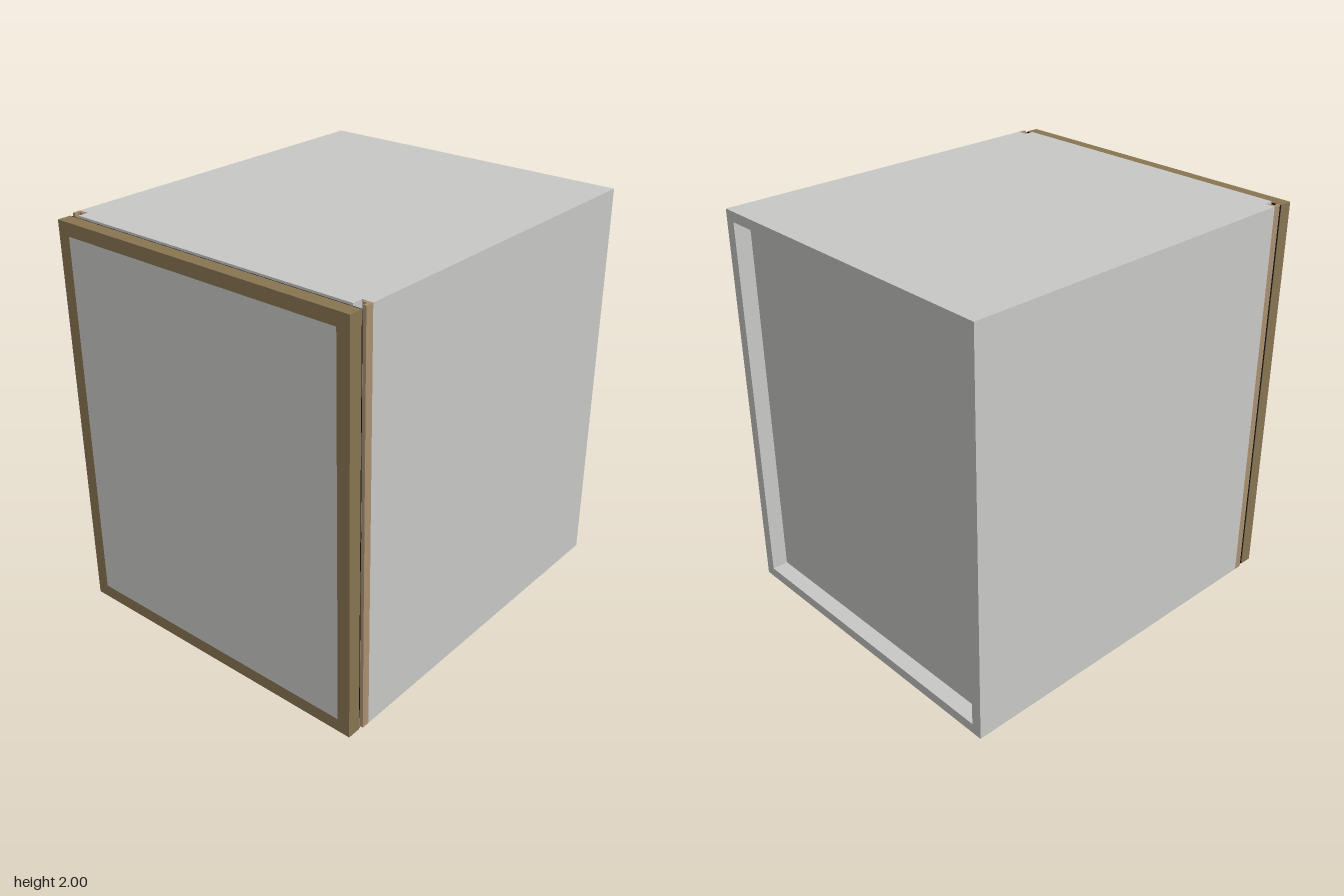
import * as THREE from 'three';

const mat = (name, color) => {
  const m = new THREE.MeshStandardMaterial({ color });
  m.name = name;
  return m;
};

export function createModel() {
  const group = new THREE.Group();
  group.name = 'cabinet';
  const grey = mat('grey laminate', 0xc8c8c6);
  const brown = mat('brown frame', 0x887552);
  const tan = mat('tan edging', 0xaa9070);
  const black = mat('black seal', 0x121212);

  const add = (name, geometry, material) => {
    const mesh = new THREE.Mesh(geometry, material);
    mesh.name = name;
    group.add(mesh);
    return mesh;
  };
  // Box given by its lower and upper corners
  const box = (name, material, [x0, y0, z0], [x1, y1, z1]) =>
    add(name, new THREE.BoxGeometry(x1 - x0, y1 - y0, z1 - z0)
      .translate((x0 + x1) / 2, (y0 + y1) / 2, (z0 + z1) / 2), material);
  const polygon = (points) => new THREE.Shape(points.map(([x, y]) => new THREE.Vector2(x, y)));
  const rect = (x, y0, y1) => [[-x, y0], [x, y0], [x, y1], [-x, y1]];
  // Rectangular ring standing in the xy plane
  const ring = (name, material, w, x, y0, y1, z0, z1) => {
    const shape = polygon(rect(x, y0, y1));
    shape.holes.push(polygon(rect(x - w, y0 + w, y1 - w)));
    add(name, new THREE.ExtrudeGeometry(shape, { depth: z1 - z0, bevelEnabled: false })
      .translate(0, 0, z0), material);
  };

  const X = 0.833, IN = 0.78, BACK = -0.967, SIDE = 0.84, T = 0.05;

  // Top and bottom boards, notched at the front corners
  for (const [name, y] of [['topBoard', 2 - T], ['bottomBoard', 0]]) {
    const plan = polygon([[-X, -BACK], [-X, -SIDE], [-IN, -SIDE], [-IN, -0.891],
      [IN, -0.891], [IN, -BACK]]);
    add(name, new THREE.ExtrudeGeometry(plan, { depth: T, bevelEnabled: false })
      .rotateX(-Math.PI / 2).translate(0, y, 0), grey);
  }

  // Side boards: the left one runs the full height
  box('leftSide', grey, [IN, 0, BACK], [X, 2, SIDE]);
  box('rightSide', grey, [-X, T, BACK], [-IN, 2 - T, SIDE]);

  // Recessed back panel
  box('backPanel', grey, [-IN, T, -0.885], [IN, 2 - T, -0.865]);

  // Angled edging on the front of each side, with small bumpers
  for (const s of [-1, 1]) {
    const angle = polygon([[X, -SIDE], [X, -0.88], [0.818, -0.88], [0.818, -0.856],
      [0.797, -0.856], [0.797, -SIDE]].map(([x, y]) => [s * x, y]));
    add(s > 0 ? 'leftEdging' : 'rightEdging',
      new THREE.ExtrudeGeometry(angle, { depth: 2, bevelEnabled: false })
        .rotateX(-Math.PI / 2), tan);
    box('doorBumper', black, [s * 0.806 - 0.012, 0.987, 0.876], [s * 0.806 + 0.012, 1.013, 0.894]);
  }

  // Door: seal, frame and flush panel
  ring('doorSeal', black, 0.06, 0.826, 0.005, 1.99, 0.893, 0.9);
  ring('doorFrame', brown, 0.065, 0.828, 0.003, 1.992, 0.9, 0.967);
  box('doorPanel', grey, [-0.763, 0.068, 0.9], [0.763, 1.927, 0.967]);

  return group;
}
